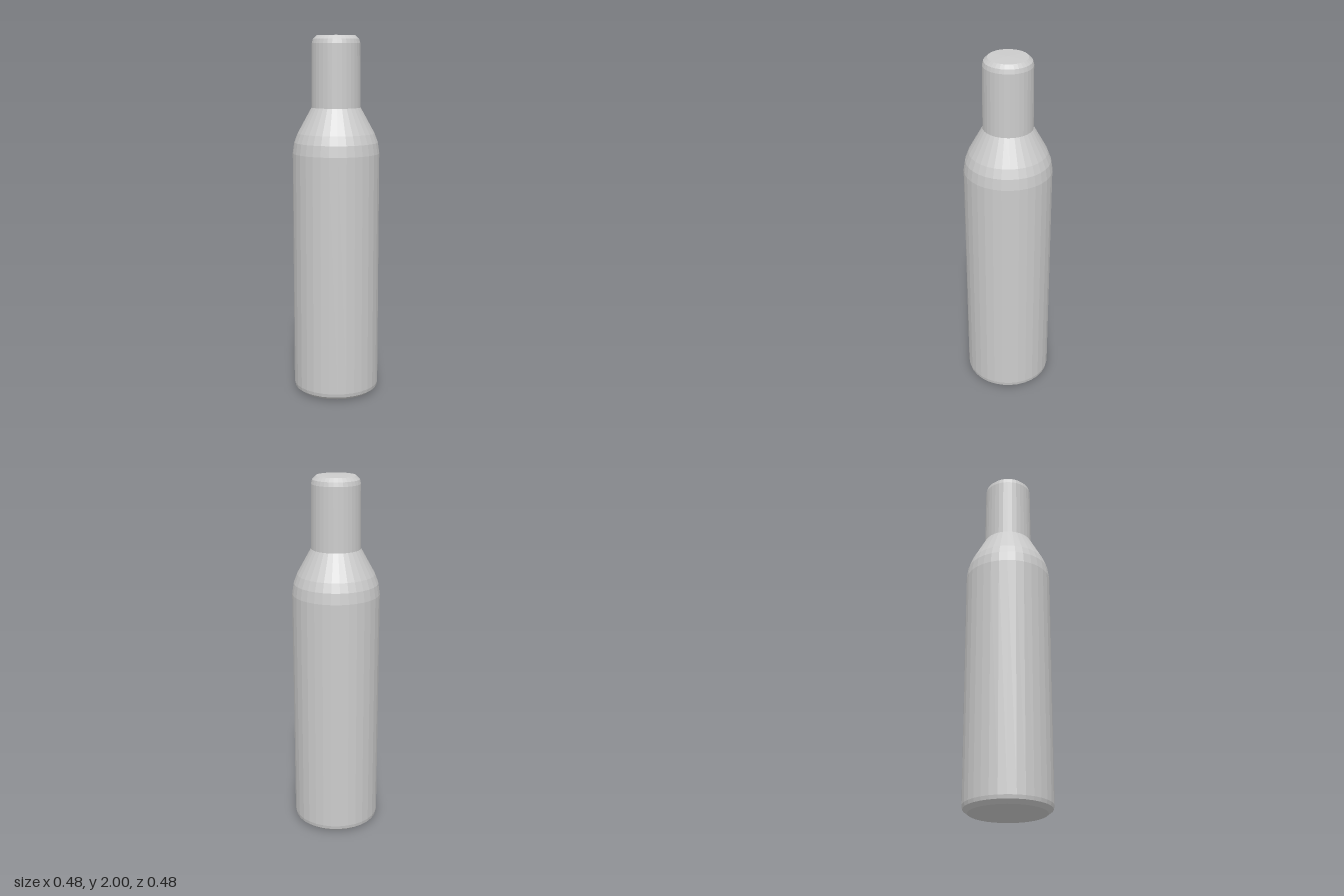
import * as THREE from 'three';

const material = new THREE.MeshStandardMaterial({ color: 0xcccccc, flatShading: true });

// Revolves a [radius, height] profile, listed from bottom to top
function turned(name, profile, sides) {
  const points = profile.map(([r, y]) => new THREE.Vector2(r, y));
  const mesh = new THREE.Mesh(new THREE.LatheGeometry(points, sides), material);
  mesh.name = name;
  return mesh;
}

export function createModel() {
  const bottle = new THREE.Group();
  bottle.name = 'bottle';

  // Flat base with a small worn edge
  bottle.add(turned('base', [[0, 0.006], [0.17, 0.002], [0.21, 0], [0.236, 0.02]], 32));

  // Straight cylindrical body
  bottle.add(turned('body', [[0.236, 0.02], [0.24, 0.04], [0.24, 1.36]], 32));

  // Shoulder: rounded at the body, then a straight cone up to the neck
  bottle.add(turned('shoulder', [[0.24, 1.36], [0.231, 1.42], [0.212, 1.47], [0.135, 1.61]], 32));

  // Neck
  bottle.add(turned('neck', [[0.135, 1.61], [0.132, 1.955]], 32));

  // Closed top with a bevelled rim
  bottle.add(turned('cap', [[0.132, 1.955], [0.126, 1.978], [0.106, 1.997], [0, 2]], 32));

  return bottle;
}
